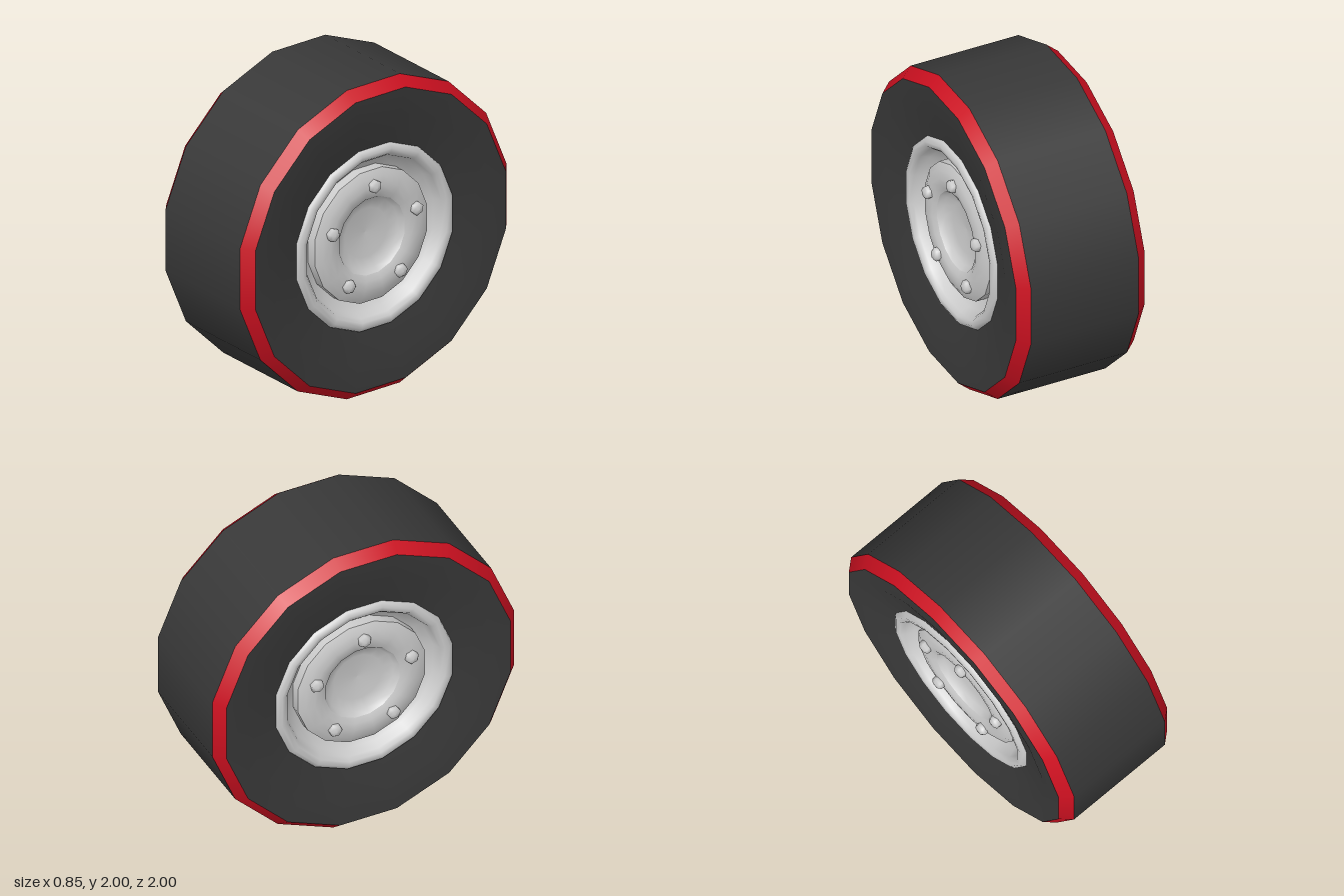
import * as THREE from 'three';

const SIDES = 16;
const rubber = new THREE.MeshStandardMaterial({ color: 0x383838 });
const red = new THREE.MeshStandardMaterial({ color: 0xcc1020 });
const metal = new THREE.MeshStandardMaterial({ color: 0xcccccc });

// Revolves a profile of [radius, x] points around the x axis.
function ring(name, profile, material, sides = SIDES) {
  const points = profile.map(([r, x]) => new THREE.Vector2(r, x));
  const geometry = new THREE.LatheGeometry(points, sides, Math.PI / sides);
  geometry.rotateZ(-Math.PI / 2);
  const mesh = new THREE.Mesh(geometry, material);
  mesh.name = name;
  return mesh;
}

// Everything on one face of the wheel, facing +x.
function createFace(name) {
  const face = new THREE.Group();
  face.name = name;
  face.add(
    ring('shoulderStripe', [[1.02, 0.357], [0.96, 0.427]], red),
    ring('sidewall', [[0.96, 0.427], [0.8, 0.415], [0.57, 0.36]], rubber),
    // Rounded lip, then the wall sinking into the groove
    ring('rimLip', [[0.6, 0.355], [0.59, 0.38], [0.565, 0.395], [0.535, 0.39], [0.515, 0.365], [0.495, 0.31], [0.43, 0.27]], metal),
    // Raised disc carrying the nuts
    ring('discEdge', [[0.43, 0.27], [0.43, 0.335]], metal),
    ring('disc', [[0.43, 0.335], [0.385, 0.358], [0.33, 0.367], [0.285, 0.362], [0.25, 0.345]], metal),
    // Dished centre
    ring('hub', [[0.25, 0.345], [0.225, 0.31], [0.16, 0.285], [0, 0.275]], metal),
  );
  for (let i = 0; i < 5; i++) {
    const spoke = new THREE.Group();
    spoke.name = 'nutMount' + (i + 1);
    const nut = ring('wheelNut', [[0.042, 0], [0.042, 0.028], [0.028, 0.042], [0, 0.046]], metal, 6);
    nut.position.set(0.358, 0.33, 0);
    spoke.add(nut);
    spoke.rotation.x = (i * Math.PI * 2) / 5;
    face.add(spoke);
  }
  return face;
}

export function createModel() {
  const wheel = new THREE.Group();
  wheel.name = 'wheel';
  wheel.add(ring('tread', [[1.02, -0.357], [1.02, 0.357]], rubber));

  // The two faces are alike
  const left = createFace('leftFace');
  const right = createFace('rightFace');
  right.rotation.y = Math.PI;
  wheel.add(left, right);

  wheel.position.y = 1;
  const model = new THREE.Group();
  model.name = 'wheelModel';
  model.add(wheel);
  return model;
}
